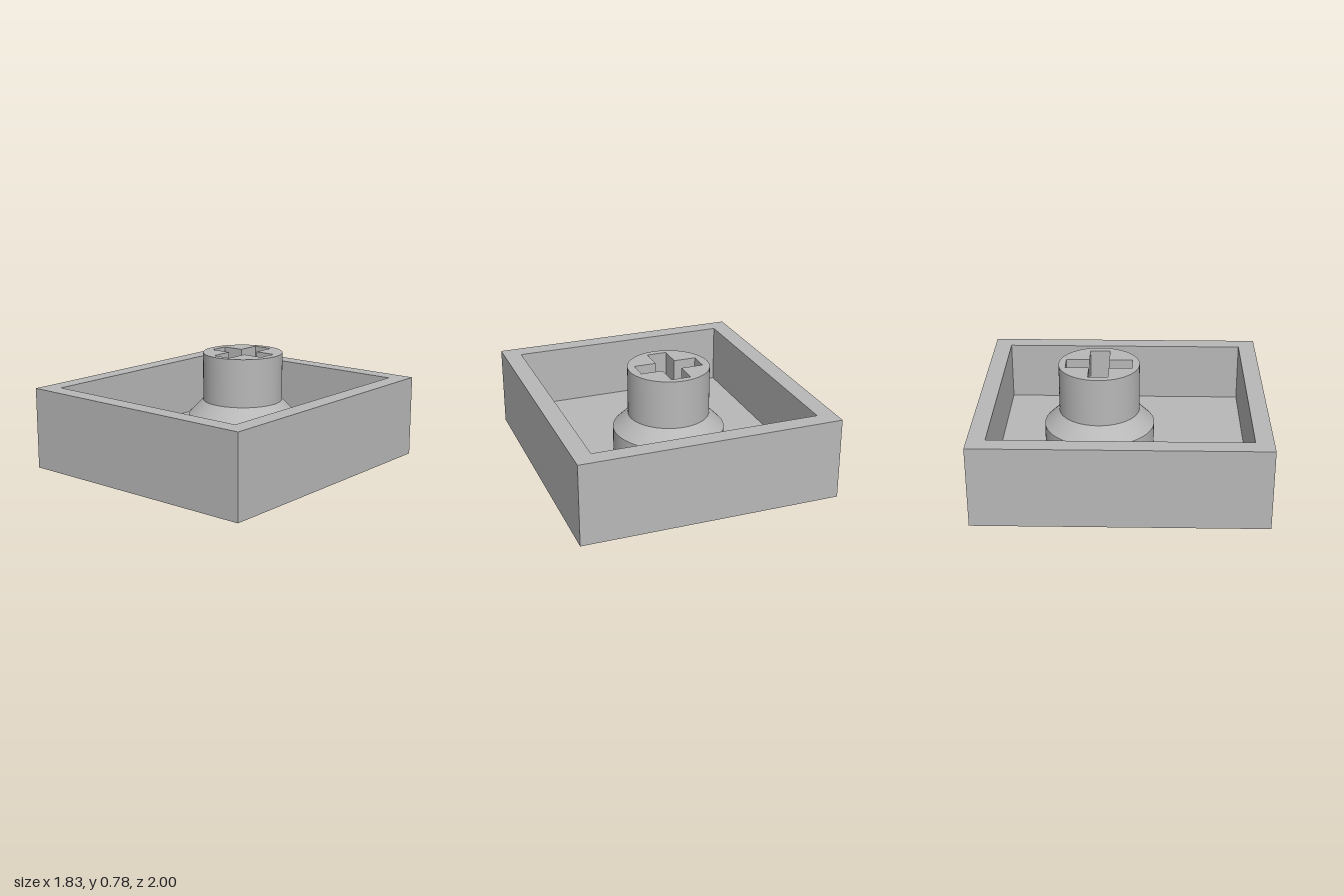
import * as THREE from 'three';
import { toCreasedNormals } from 'three/addons/utils/BufferGeometryUtils.js';

const STEM_Z = -0.165;

// Closed outline from a list of [x, y] corners
const outline = (pts) => pts.map(([x, y]) => new THREE.Vector2(x, y));
const rect = (x, z0, z1) => outline([[-x, -z1], [x, -z1], [x, -z0], [-x, -z0]]);
const circle = (r) => new THREE.Path().absarc(0, 0, r, 0, Math.PI * 2).getPoints(36);

// Upright prism with a hole, from y0 to y1, plan drawn with -z up
function prism(outer, hole, y0, y1) {
  const shape = new THREE.Shape(outer);
  shape.holes.push(new THREE.Path(hole));
  const geo = new THREE.ExtrudeGeometry(shape, { depth: y1 - y0, bevelEnabled: false });
  geo.rotateX(-Math.PI / 2).translate(0, y0, 0);
  return toCreasedNormals(geo, 0.5);
}

// Open-ended tube wall from y0 to y1
const tubeWall = (rTop, rBottom, y0, y1) =>
  new THREE.CylinderGeometry(rTop, rBottom, y1 - y0, 72, 1, true).translate(0, (y0 + y1) / 2, 0);

export function createModel() {
  const grey = new THREE.MeshStandardMaterial({ color: 0xb8b8b8 });
  grey.name = 'grey plastic';
  const model = new THREE.Group();
  model.name = 'keycap';

  function add(parent, name, geo) {
    const mesh = new THREE.Mesh(geo, grey);
    mesh.name = name;
    parent.add(mesh);
  }

  // Tray: four walls and a floor with a round dimple underneath
  const inner = rect(0.79, -0.877, 0.877);
  add(model, 'walls', prism(rect(0.915, -1, 1), inner, 0, 0.577));
  add(model, 'floor', prism(inner, circle(0.108), 0, 0.15));
  add(model, 'dimpleCeiling',
    new THREE.CircleGeometry(0.108, 48).rotateX(Math.PI / 2).translate(0, 0.06, 0));

  // Stem: wide collar, sloped shoulder, and post with a cross socket
  const stem = new THREE.Group();
  stem.name = 'stem';
  stem.position.z = STEM_Z;
  model.add(stem);
  const w = 0.07, a = 0.225, b = 0.235;
  const cross = outline([
    [-w, -b], [w, -b], [w, -w], [a, -w], [a, w], [w, w],
    [w, b], [-w, b], [-w, w], [-a, w], [-a, -w], [-w, -w],
  ]);
  add(stem, 'collar', tubeWall(0.392, 0.392, 0.15, 0.325));
  add(stem, 'shoulder', tubeWall(0.286, 0.392, 0.325, 0.431));
  add(stem, 'post', prism(circle(0.286), cross, 0.33, 0.776));
  add(stem, 'socketFloor',
    new THREE.CircleGeometry(0.28, 48).rotateX(-Math.PI / 2).translate(0, 0.331, 0));

  return model;
}
